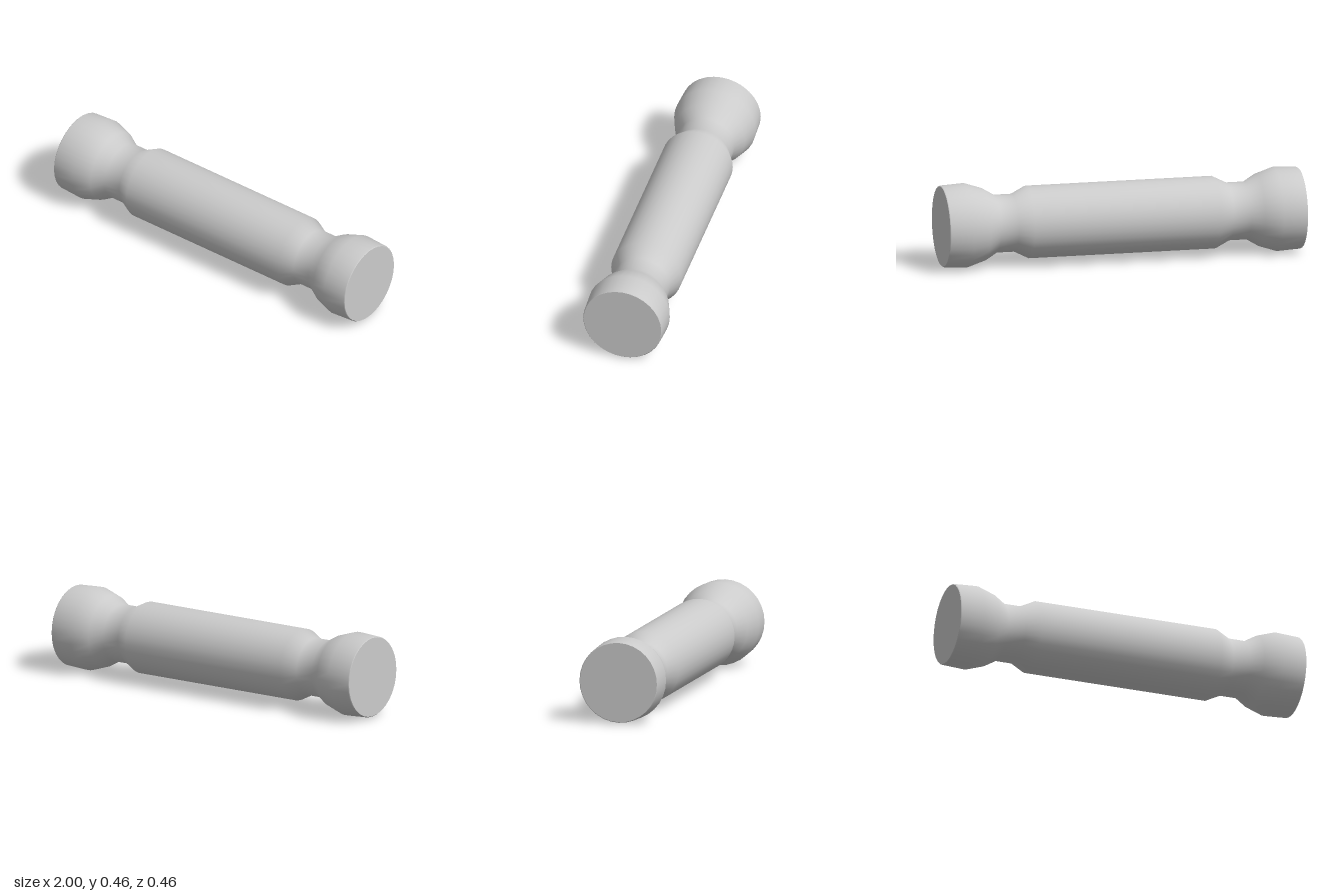
import * as THREE from 'three';

const SIDES = 32;
const AXIS_HEIGHT = 0.23;

// Half of the outline as [distance from centre, radius]
const HALF_PROFILE = [
  [0.52, 0.198], [0.6, 0.158], [0.7, 0.158], [0.767, 0.198],
  [0.865, 0.23], [0.995, 0.223], [1, 0.219],
];

export function createModel() {
  const group = new THREE.Group();
  group.name = 'roundBar';
  const material = new THREE.MeshStandardMaterial({ color: 0xcccccc });

  const add = (name, geometry) => {
    const mesh = new THREE.Mesh(geometry, material);
    mesh.name = name;
    mesh.position.y = AXIS_HEIGHT;
    group.add(mesh);
    return mesh;
  };

  // Turned bar: shaft, two necks and two flared ends, laid along x
  const profile = [
    ...HALF_PROFILE.map(([d, r]) => new THREE.Vector2(r, -d)).reverse(),
    ...HALF_PROFILE.map(([d, r]) => new THREE.Vector2(r, d)),
  ];
  add('turnedBar', new THREE.LatheGeometry(profile, SIDES).rotateZ(-Math.PI / 2));

  // Flat discs closing both ends
  const [capDistance, capRadius] = HALF_PROFILE[HALF_PROFILE.length - 1];
  for (const [name, side] of [['leftEndCap', 1], ['rightEndCap', -1]]) {
    const disc = new THREE.CircleGeometry(capRadius, SIDES).rotateY(side * Math.PI / 2);
    add(name, disc).position.x = side * capDistance;
  }

  return group;
}
